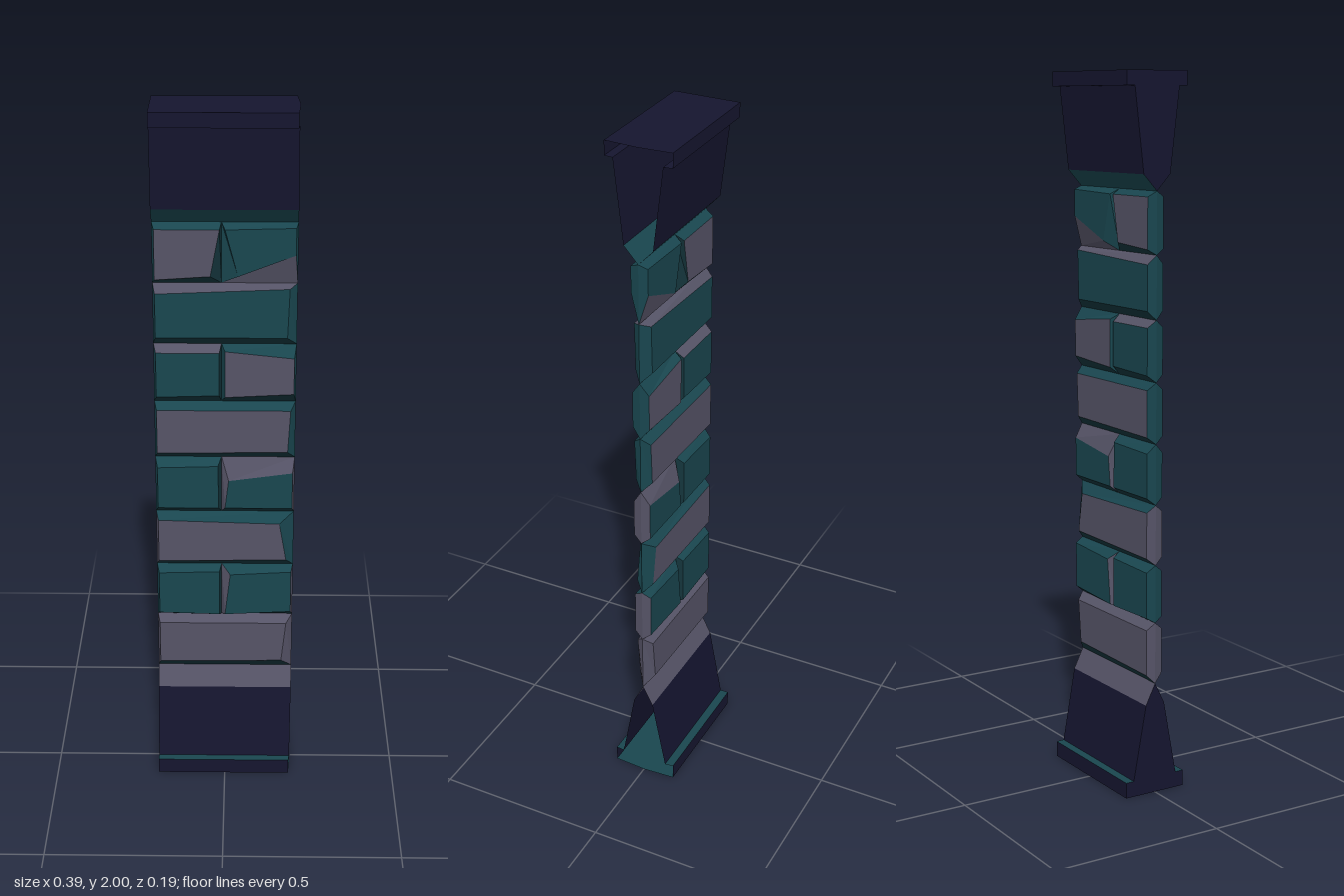
import * as THREE from 'three';

const mat = (color) => new THREE.MeshStandardMaterial({ color, flatShading: true, side: THREE.DoubleSide });
const GREY = 0, TEAL = 1, NAVY = 2, DARK = 3;
const materials = [0x555366, 0x19464f, 0x15152f, 0x14343b].map(mat);

const LEFT = -0.197, RIGHT = 0.196, DEPTH = 0.025, SEAM = -0.01;

// One mesh from coloured quads (corners counter-clockwise seen from outside)
function quadMesh(name, quads) {
  const pos = [];
  const geo = new THREE.BufferGeometry();
  quads.forEach(({ c, p }, i) => {
    for (const k of [0, 1, 2, 0, 2, 3]) pos.push(...p[k]);
    geo.addGroup(i * 6, 6, c);
  });
  geo.setAttribute('position', new THREE.Float32BufferAttribute(pos, 3));
  geo.computeVertexNormals();
  const mesh = new THREE.Mesh(geo, materials);
  mesh.name = name;
  return mesh;
}

// Stone: outline at mid depth, bevelled out to an irregular face on both sides.
// face = bottom left, bottom right, top right, top left; colours = face, bottom, right, top, left
function stone(x0, x1, y0, y1, face, colours) {
  const outline = [[x0, y0], [x1, y0], [x1, y1], [x0, y1]];
  const quads = [];
  for (const s of [1, -1]) {
    const outer = outline.map(([x, y]) => [x, y, 0]);
    const inner = face.map(([x, y]) => [x, y, s * DEPTH]);
    const add = (c, p) => quads.push({ c, p: s > 0 ? p : p.reverse() });
    add(colours[0], [...inner]);
    for (let i = 0; i < 4; i++) {
      const j = (i + 1) % 4;
      add(colours[i + 1], [outer[i], outer[j], inner[j], inner[i]]);
    }
  }
  return quadMesh('stone', quads);
}

// Trim: mirrored profile [z, y] swept along x, closed at the left end, open at the right
function trim(name, profile, colours) {
  const endX = (z) => RIGHT - 0.006 * (z / 0.095) ** 2;
  const quads = [];
  for (const s of [1, -1]) {
    for (let i = 0; i < profile.length - 1; i++) {
      const [za, ya] = profile[i], [zb, yb] = profile[i + 1];
      const p = [[LEFT, ya, s * za], [LEFT, yb, s * zb], [endX(zb), yb, s * zb], [endX(za), ya, s * za]];
      // orient so that the normal points out of the profile
      const flip = (profile[0][1] > profile[profile.length - 1][1]) === (s > 0);
      quads.push({ c: colours[i], p: flip ? p : p.reverse() });
    }
  }
  const group = new THREE.Group();
  group.name = name;
  group.add(quadMesh(name + 'Shell', quads));

  // End wall
  const half = profile.filter(([z]) => z > 0);
  const first = profile[0];
  const outline = [first, ...half, ...half.map(([z, y]) => [-z, y]).reverse()];
  const shape = new THREE.Shape(outline.map(([z, y]) => new THREE.Vector2(z, y)));
  const end = new THREE.Mesh(new THREE.ShapeGeometry(shape), materials[NAVY]);
  end.name = name + 'End';
  end.rotation.y = -Math.PI / 2;
  end.position.x = LEFT;
  group.add(end);
  return group;
}

export function createModel() {
  const model = new THREE.Group();
  model.name = 'stonePillar';

  // Flared foot with plinth and flared head with cap
  model.add(trim('base',
    [[0, 0.32], [0.03, 0.26], [0.07, 0.045], [0.095, 0.045], [0.095, 0], [0, 0]],
    [GREY, NAVY, TEAL, NAVY, TEAL]));
  model.add(trim('capital',
    [[0, 1.685], [0.042, 1.73], [0.07, 1.96], [0.095, 1.96], [0.095, 2], [0, 2]],
    [TEAL, NAVY, NAVY, NAVY, NAVY]));

  // Courses from bottom to top, alternating one long stone and two short ones
  const levels = [0.32, 0.495, 0.66, 0.83, 1.0, 1.17, 1.34, 1.515, 1.685];
  const courses = [
    [{ f: [[-0.19, 0.345], [0.165, 0.35], [0.178, 0.475], [-0.19, 0.475]], c: [GREY, DARK, GREY, GREY, GREY] }],
    [{ f: [[-0.19, 0.51], [-0.016, 0.505], [-0.016, 0.645], [-0.19, 0.64]], c: [TEAL, DARK, DARK, TEAL, TEAL] },
      { f: [[0, 0.505], [0.19, 0.515], [0.19, 0.645], [0.015, 0.635]], c: [TEAL, DARK, GREY, TEAL, GREY] }],
    [{ f: [[-0.19, 0.68], [0.175, 0.685], [0.155, 0.8], [-0.19, 0.81]], c: [GREY, DARK, TEAL, TEAL, GREY] }],
    [{ f: [[-0.19, 0.85], [-0.018, 0.85], [-0.02, 0.98], [-0.19, 0.975]], c: [TEAL, DARK, DARK, TEAL, TEAL] },
      { f: [[0, 0.85], [0.19, 0.85], [0.19, 0.96], [0.01, 0.935]], c: [TEAL, DARK, GREY, GREY, GREY] }],
    [{ f: [[-0.19, 1.02], [0.175, 1.025], [0.182, 1.15], [-0.19, 1.15]], c: [GREY, DARK, TEAL, TEAL, TEAL] }],
    [{ f: [[-0.19, 1.19], [-0.016, 1.195], [-0.016, 1.32], [-0.19, 1.32]], c: [TEAL, DARK, DARK, GREY, TEAL] },
      { f: [[0, 1.19], [0.19, 1.2], [0.19, 1.305], [0, 1.325]], c: [GREY, DARK, TEAL, TEAL, TEAL] }],
    [{ f: [[-0.19, 1.365], [0.17, 1.365], [0.175, 1.505], [-0.19, 1.49]], c: [TEAL, DARK, TEAL, GREY, TEAL] }],
    [{ f: [[-0.19, 1.53], [-0.04, 1.54], [-0.015, 1.67], [-0.19, 1.67]], c: [GREY, DARK, DARK, TEAL, TEAL] },
      { f: [[0.035, 1.54], [0.19, 1.6], [0.19, 1.675], [0, 1.67]], c: [TEAL, GREY, TEAL, TEAL, TEAL] }],
  ];
  courses.forEach((stones, row) => {
    const course = new THREE.Group();
    course.name = 'course' + (row + 1);
    const xs = stones.length === 1 ? [LEFT, RIGHT] : [LEFT, SEAM, RIGHT];
    stones.forEach(({ f, c }, i) => course.add(stone(xs[i], xs[i + 1], levels[row], levels[row + 1], f, c)));
    model.add(course);
  });

  return model;
}
